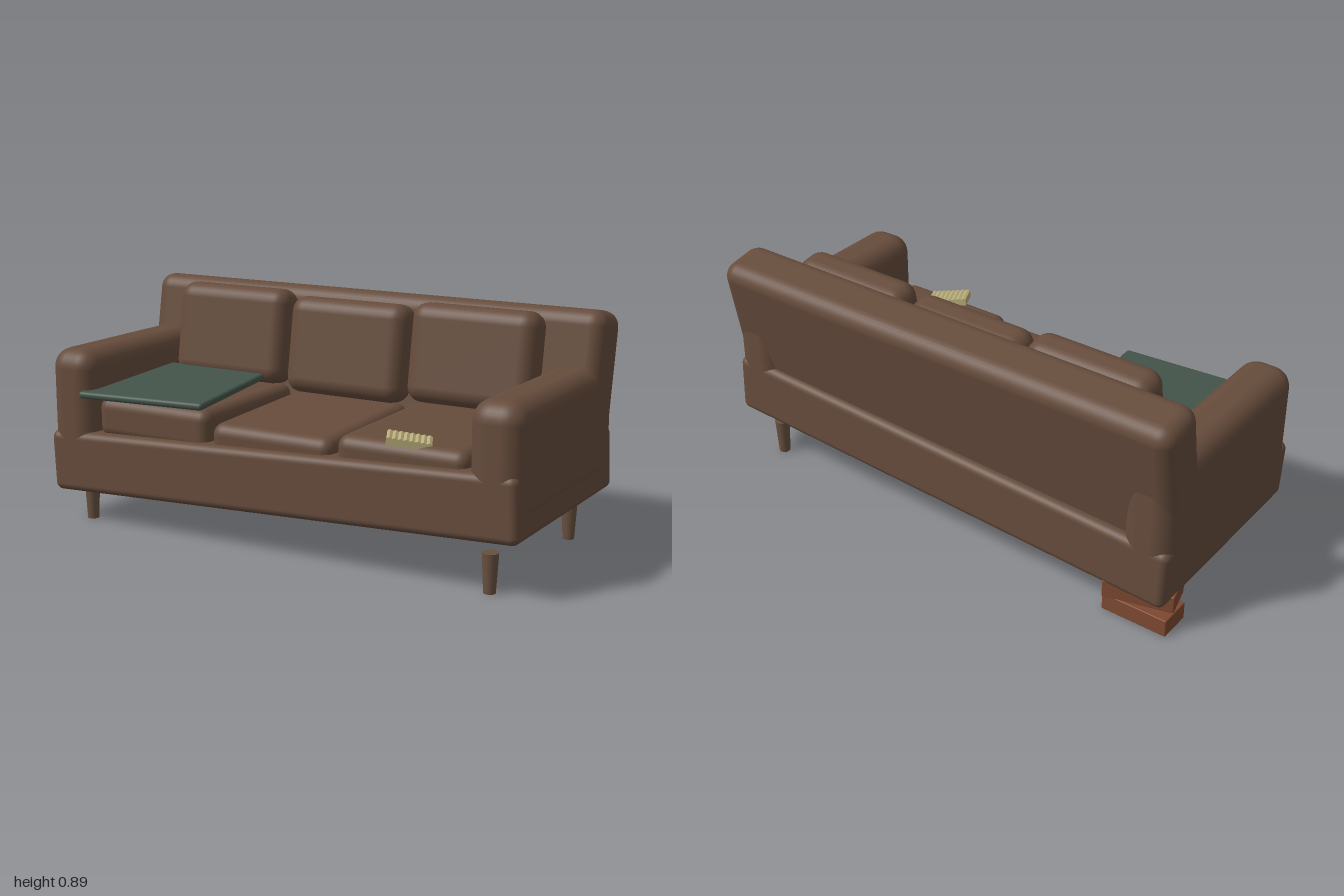
import * as THREE from 'three';
import { RoundedBoxGeometry } from 'three/addons/geometries/RoundedBoxGeometry.js';

function material(name, color) {
  const m = new THREE.MeshStandardMaterial({ color });
  m.name = name;
  return m;
}

export function createModel() {
  const model = new THREE.Group();
  model.name = 'sofa';
  const fabric = material('brown fabric', 0x664c3c);
  const wood = material('leg wood', 0x67503f);
  const clay = material('brick red', 0x7d4830);
  const green = material('dark green', 0x43544a);
  const cream = material('pale yellow', 0xb8ad7a);

  const add = (name, geometry, mat, pos, rot = [0, 0, 0]) => {
    const mesh = new THREE.Mesh(geometry, mat);
    mesh.name = name;
    mesh.position.set(...pos);
    mesh.rotation.set(...rot);
    model.add(mesh);
    return mesh;
  };
  const block = (name, size, radius, mat, pos, rot) =>
    add(name, new RoundedBoxGeometry(...size, 4, radius), mat, pos, rot);

  // Sagging base and the reclined back
  block('base', [1.99, 0.24, 0.88], 0.03, fabric, [0, 0.28, 0.01], [0, 0, 0.043]);
  block('back', [2, 0.6, 0.21], 0.06, fabric, [0, 0.586, -0.324], [-0.178, 0, 0]);

  // Arms
  for (const side of [-1, 1]) {
    block(side > 0 ? 'leftArm' : 'rightArm', [0.2, 0.44, 0.88], 0.075, fabric,
      [side * 0.899, 0.465, 0.01]);
  }

  // Three loose seat cushions and three back cushions
  const cushions = [
    { x: -0.535, seatTop: 0.507, backY: 0.695, z: -0.185, tilt: 0 },
    { x: -0.005, seatTop: 0.477, backY: 0.675, z: -0.19, tilt: 0.035 },
    { x: 0.53, seatTop: 0.495, backY: 0.693, z: -0.195, tilt: 0.015 },
  ];
  cushions.forEach(({ x, seatTop, backY, z, tilt }, i) => {
    block('seatCushion' + (i + 1), [0.515, 0.16, 0.62], 0.045, fabric,
      [x, seatTop - 0.08, 0.1], [tilt, 0, 0]);
    block('backCushion' + (i + 1), [0.515, 0.38, 0.155], 0.06, fabric,
      [x, backY, z], [-0.16, 0, 0]);
  });

  // Three tapered legs; the fourth corner rests on bricks
  for (const [x, z] of [[-0.865, 0.365], [0.865, 0.365], [0.865, -0.345]]) {
    add('leg', new THREE.CylinderGeometry(0.03, 0.022, 0.145, 20), wood, [x, 0.0725, z]);
  }
  block('lowerBrick', [0.265, 0.07, 0.13], 0.004, clay, [-0.868, 0.035, -0.345]);
  block('upperBrick', [0.265, 0.07, 0.13], 0.004, clay, [-0.857, 0.109, -0.333], [0, 0.26, 0]);

  // Flat green pad lying askew on the seat
  block('greenPad', [0.545, 0.028, 0.56], 0.013, green, [-0.6, 0.531, 0.155], [0.045, 0.1, 0]);

  // Small ribbed block on the seat
  const ribs = 8, length = 0.16;
  const profile = new THREE.Shape();
  profile.moveTo(-length / 2, -0.014);
  profile.lineTo(length / 2, -0.014);
  for (let i = ribs * 2; i >= 0; i--) {
    profile.lineTo(-length / 2 + (length * i) / (ribs * 2), i % 2 ? 0.016 : 0.011);
  }
  const ribbed = new THREE.ExtrudeGeometry(profile, { depth: 0.095, bevelEnabled: false });
  ribbed.translate(0, 0, -0.0475);
  const snack = add('ribbedBlock', ribbed, cream, [0.55, 0.497, 0.368]);
  snack.rotation.set(0.06, 0.45, -0.14, 'YXZ');

  return model;
}
